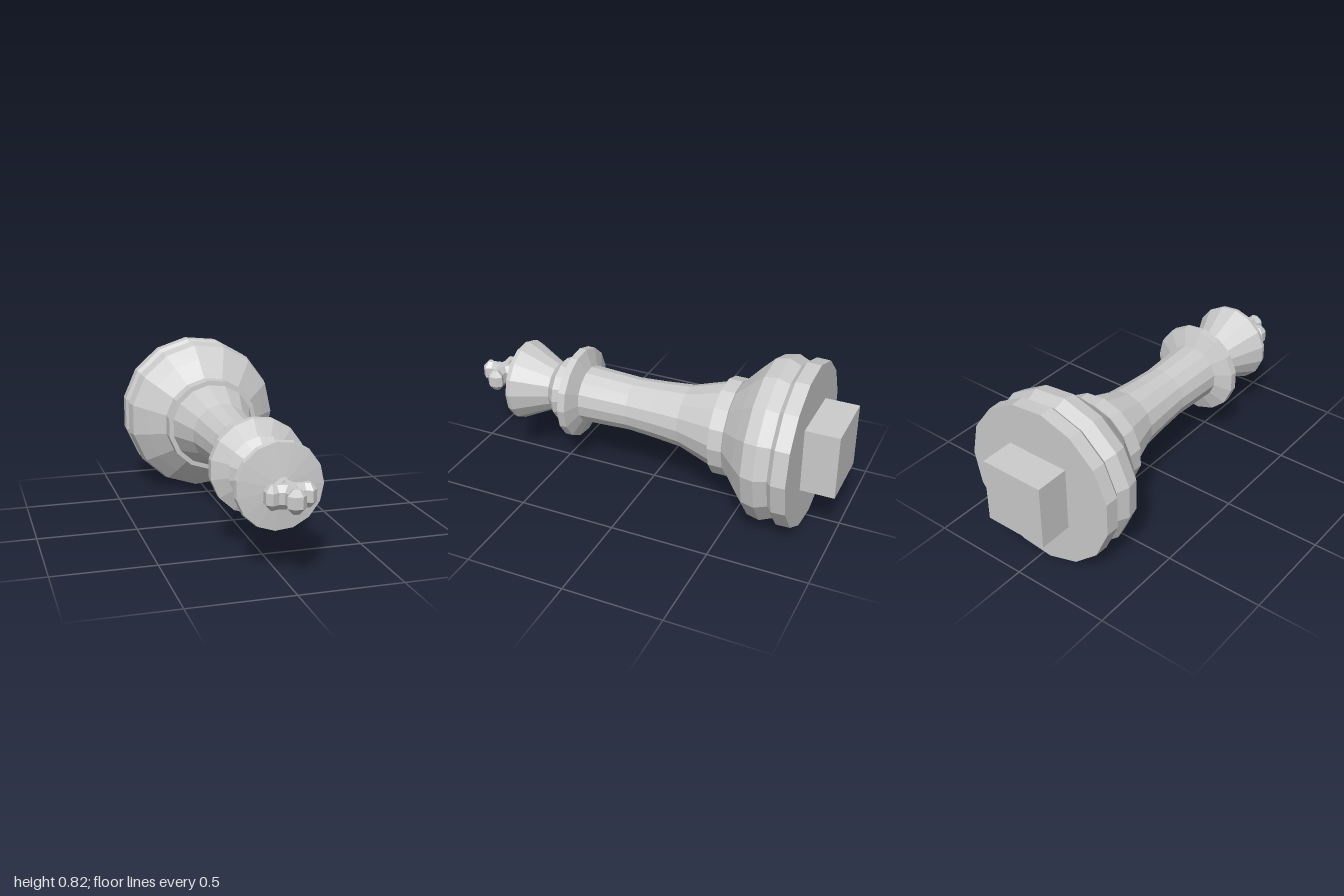
import * as THREE from 'three';

const SIDES = 15;
const AXIS_Y = 0.412;

export function createModel() {
  const root = new THREE.Group();
  root.name = 'chessKing';
  const material = new THREE.MeshStandardMaterial({ color: 0xcccccc, flatShading: true });

  const add = (name, geometry) => {
    const mesh = new THREE.Mesh(geometry, material);
    mesh.name = name;
    mesh.position.y = AXIS_Y;
    root.add(mesh);
    return mesh;
  };

  // Turned part lying along z; profile is a list of [radius, z] from back to front
  const turned = (name, profile) => {
    const points = profile.map(([r, z]) => new THREE.Vector2(r, z));
    const geometry = new THREE.LatheGeometry(points, SIDES, Math.PI / 2);
    geometry.rotateX(Math.PI / 2);
    return add(name, geometry);
  };

  // Foot with its groove and sloping shoulder
  turned('base', [
    [0, -0.83], [0.411, -0.83], [0.413, -0.76], [0.388, -0.735],
    [0.413, -0.675], [0.4, -0.61], [0.335, -0.545], [0.275, -0.49], [0.24, -0.457],
  ]);
  turned('lowerCollar', [[0.225, -0.457], [0.246, -0.457], [0.246, -0.385], [0.215, -0.383]]);
  turned('shaft', [[0.222, -0.385], [0.16, -0.19], [0.146, -0.04], [0.137, 0.1], [0.148, 0.36]]);
  turned('upperCollar', [[0.148, 0.36], [0.235, 0.393], [0.235, 0.432], [0.15, 0.472]]);
  turned('neckRing', [[0.15, 0.472], [0.167, 0.502], [0.122, 0.548]]);
  turned('crown', [[0.122, 0.548], [0.21, 0.728], [0.205, 0.752], [0.04, 0.772], [0.03, 0.8], [0, 0.8]]);

  // Cross: one arm outline turned four times, with bevelled faces
  const arm = [[0.035, -0.035], [0.06, -0.03], [0.09, -0.043], [0.115, -0.019],
    [0.115, 0.019], [0.09, 0.043], [0.06, 0.03]];
  const outline = [];
  for (let k = 0; k < 4; k++) {
    const turn = k * Math.PI / 2;
    for (const [x, y] of arm) {
      outline.push(new THREE.Vector2(x, y).rotateAround(new THREE.Vector2(), turn));
    }
  }
  const bevel = 0.022;
  const cross = new THREE.ExtrudeGeometry(new THREE.Shape(outline), {
    depth: 0.054, bevelEnabled: true, bevelThickness: 0.028,
    bevelSize: bevel, bevelOffset: -bevel, bevelSegments: 1,
  });
  cross.translate(0, 0, -0.027);
  cross.rotateX(Math.PI / 2);
  add('cross', cross).position.z = 0.885;

  // Square peg behind the foot
  add('peg', new THREE.BoxGeometry(0.33, 0.33, 0.19)).position.set(-0.005, 0.415, -0.905);

  return root;
}
